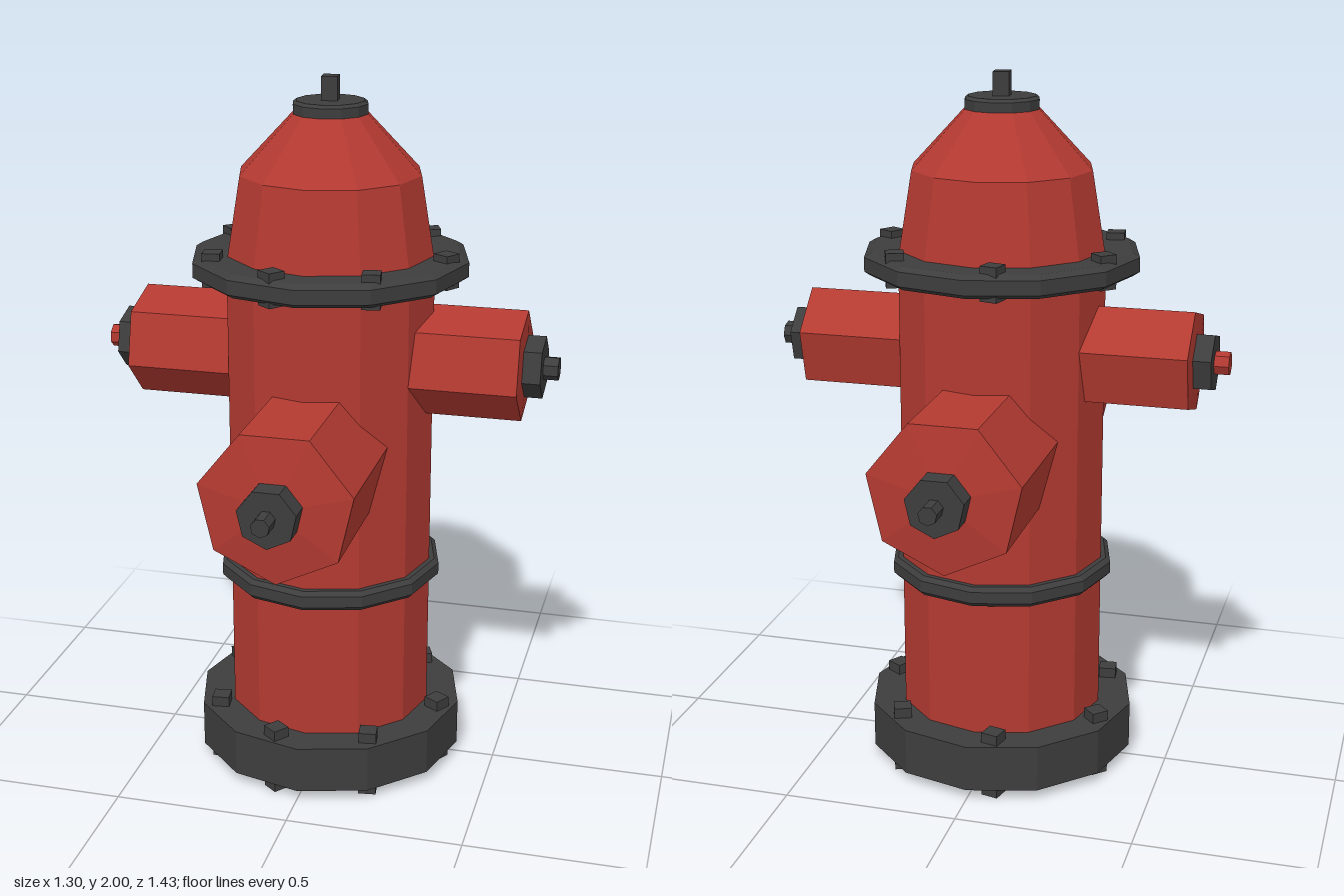
import * as THREE from 'three';

const DEG = Math.PI / 180;
const SIDES = 12;

export function createModel() {
  const model = new THREE.Group();
  model.name = 'fireHydrant';

  const red = new THREE.MeshStandardMaterial({ color: 0xb33a31, flatShading: true, side: THREE.DoubleSide });
  red.name = 'hydrant red';
  const dark = new THREE.MeshStandardMaterial({ color: 0x3d3d3d, flatShading: true, side: THREE.DoubleSide });
  dark.name = 'dark iron';

  const add = (parent, name, geometry, material) => {
    const mesh = new THREE.Mesh(geometry, material);
    mesh.name = name;
    parent.add(mesh);
    return mesh;
  };
  // Faceted turned part from [radius, height] points
  const turned = (name, points, material) =>
    add(model, name, new THREE.LatheGeometry(points.map(([r, y]) => new THREE.Vector2(r, y)), SIDES), material);

  // Barrel, open at the bottom, and domed bonnet
  turned('barrel', [[0.295, 0.165], [0.295, 1.5]], red);
  turned('bonnet', [[0.295, 1.5], [0.255, 1.74], [0.105, 1.9]], red);

  // Hollow foot, middle band and upper flange
  turned('foot', [[0.39, 0.03], [0.39, 0.165], [0.295, 0.165]], dark);
  turned('middleBand', [[0.29, 0.562], [0.31, 0.562], [0.323, 0.575], [0.323, 0.608], [0.31, 0.62], [0.29, 0.62]], dark);
  turned('upperFlange', [[0.29, 1.455], [0.37, 1.455], [0.39, 1.468], [0.39, 1.508], [0.37, 1.52], [0.29, 1.52]], dark);

  // Top cap and operating stem
  turned('topCap', [[0, 1.89], [0.098, 1.89], [0.105, 1.9], [0.105, 1.927], [0.095, 1.935], [0, 1.935]], dark);
  const stem = add(model, 'topStem', new THREE.BoxGeometry(0.045, 0.08, 0.045), dark);
  stem.position.y = 1.96;
  stem.rotation.y = 6 * DEG;

  // Bolts through the foot and the flange
  const boltAngles = [7, 57, 103, 148, 201, 259, 314];
  const boltRing = (name, bottom, top) => {
    for (const a of boltAngles) {
      const bolt = add(model, name, new THREE.BoxGeometry(0.05, top - bottom, 0.05), dark);
      bolt.position.set(0.337 * Math.cos(a * DEG), (bottom + top) / 2, 0.337 * Math.sin(a * DEG));
      bolt.rotation.y = -(a + 25) * DEG;
    }
  };
  boltRing('footBolt', 0, 0.195);
  boltRing('flangeBolt', 1.445, 1.54);

  // Outlet pointing along its own z: prism with a shallow pointed end, nut and stem
  const outlet = (name, o) => {
    const group = new THREE.Group();
    group.name = name;
    const prism = (part, r0, r1, z0, z1, sides, open, material) => {
      const g = new THREE.CylinderGeometry(r1, r0, z1 - z0, sides, 1, open);
      g.rotateX(Math.PI / 2);
      g.translate(0, 0, (z0 + z1) / 2);
      g.rotateZ(o.roll * DEG);
      add(group, part, g, material);
    };
    prism('outletBody', o.radius, o.radius, o.start, o.rim, o.sides, true, red);
    prism('outletEnd', o.radius, 0.03, o.rim, o.face, o.sides, true, red);
    prism('outletNut', o.nutRadius, o.nutRadius, o.rim, o.nutEnd, o.sides, false, dark);
    prism('outletStem', o.stemRadius, o.stemRadius, o.nutEnd - 0.01, o.tip, 7, false, o.tipMaterial);
    group.position.y = o.y;
    group.rotation.y = o.turn * DEG;
    model.add(group);
  };

  // Large front and back outlets
  const large = {
    y: 0.976, radius: 0.216, sides: 7, roll: 0, start: 0.18, rim: 0.578, face: 0.603,
    nutRadius: 0.082, nutEnd: 0.658, stemRadius: 0.026, tip: 0.715, tipMaterial: dark,
  };
  outlet('frontOutlet', { ...large, turn: 0 });
  outlet('backOutlet', { ...large, turn: 180 });

  // Small side outlets, mirrored
  const small = {
    y: 1.226, radius: 0.153, sides: 6, start: 0.225, rim: 0.553, face: 0.56,
    nutRadius: 0.086, nutEnd: 0.607, stemRadius: 0.033, tip: 0.648,
  };
  outlet('leftOutlet', { ...small, roll: -14, turn: 90, tipMaterial: dark });
  outlet('rightOutlet', { ...small, roll: 14, turn: -90, tipMaterial: red });

  return model;
}
